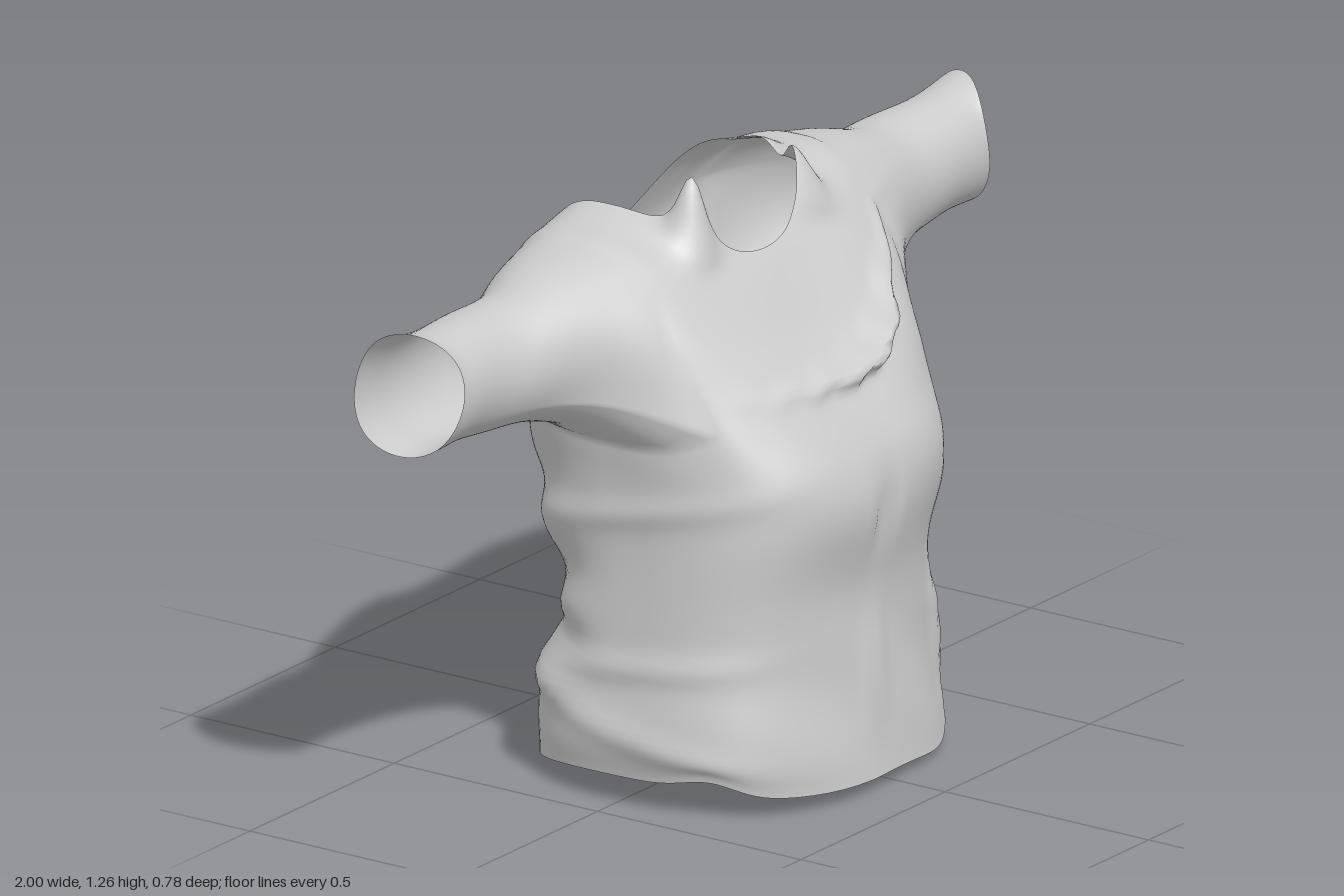
import * as THREE from 'three';

const N = 128;               // columns around the body
const SUB = 8;               // rows between two key rings
const HOLE = { back: -16, front: 12, low: 6, high: 9 }; // armhole block (columns, key rings)

// Key rings of the body: y at front, side, back; x of right and left side; z of front and back
const RINGS = [
  [0.045, 0.075, 0.015, -0.445, 0.36, 0.385, -0.335],
  [0.13, 0.155, 0.12, -0.455, 0.345, 0.375, -0.33],
  [0.28, 0.29, 0.28, -0.435, 0.345, 0.354, -0.302],
  [0.44, 0.44, 0.44, -0.418, 0.345, 0.35, -0.292],
  [0.6, 0.58, 0.59, -0.415, 0.365, 0.38, -0.348],
  [0.7, 0.69, 0.7, -0.415, 0.38, 0.368, -0.367],
  [0.79, 0.775, 0.79, -0.425, 0.395, 0.32, -0.38],
  [0.88, 0.95, 0.87, -0.45, 0.44, 0.25, -0.392],
  [0.95, 1.09, 0.92, -0.445, 0.44, 0.185, -0.39],
  [1.02, 1.165, 0.96, -0.4, 0.4, 0.128, -0.388],
  [1.065, 1.183, 0.985, -0.31, 0.3, 0.092, -0.385],
  [1.09, 1.2, 1.0, -0.24, 0.222, 0.07, -0.378],
];

// Key rings of a sleeve: x, centre y, centre z, half height, half depth
const SLEEVE = [
  [0.43, 0.97, -0.11, 0.19, 0.24],
  [0.51, 0.985, -0.127, 0.16, 0.182],
  [0.6, 0.985, -0.133, 0.138, 0.136],
  [0.7, 0.985, -0.148, 0.125, 0.122],
  [0.82, 0.99, -0.148, 0.121, 0.114],
  [0.92, 0.996, -0.144, 0.125, 0.107],
  [1.0, 1.003, -0.142, 0.133, 0.105],
];

const { lerp, smoothstep, radToDeg } = THREE.MathUtils;
const bump = (d, w) => Math.exp(-(d * d) / (w * w));

function smoothKeys(keys) {
  const f = new THREE.CubicInterpolant(keys.map((_, i) => i), keys.flat(), keys[0].length);
  return t => Array.from(f.evaluate(t));
}

// Outward push of the cloth: wrinkles, chest ridge, front closure and swags
function folds(x, y, z, c, s) {
  const front = smoothstep(s, 0.1, 0.7), back = smoothstep(-s, 0.1, 0.7);
  const side = Math.abs(c) ** 3;
  let d = 0.004 * Math.sin(17 * x + 9 * y) * Math.sin(13 * y - 8 * z + 1);
  // ridge rising across the chest to the left of the neck
  const ridgeY = 0.865 + 0.1 * Math.max(0, x) + 1.3 * Math.max(0, x) ** 2;
  d += front * 0.05 * bump(y - ridgeY - 0.006 * Math.sin(60 * x), 0.02) * bump(x - 0.08, 0.2);
  // front closure and pleats
  d -= front * 0.022 * bump(x + 0.03, 0.012) * bump(y - 0.62, 0.09);
  d += front * 0.016 * bump(x + 0.06 - 0.12 * (y - 0.2), 0.014) * bump(y - 0.25, 0.13);
  d += front * 0.02 * bump(x - 0.25 + 0.15 * (y - 0.2), 0.02) * bump(y - 0.24, 0.14);
  // swags hanging across the back
  d += back * bump(y - 0.52, 0.3) * 0.01 * Math.sin(34 * (y - 0.7 * x * x) + 4 * x);
  d += back * 0.022 * (bump(y - 0.23, 0.035) - bump(y - 0.33, 0.04));
  // creases on the flanks
  d += side * 0.01 * (bump(y - 0.3 - 0.1 * z, 0.025) + bump(y - 0.17 + 0.2 * z, 0.03));
  d += side * 0.009 * bump(y - 0.62 - 0.2 * z, 0.03);
  return d;
}

function bodyRows() {
  const key = smoothKeys(RINGS);
  const last = (RINGS.length - 1) * SUB;
  const rows = [];
  for (let j = 0; j <= last; j++) {
    const t = j / SUB;
    const [yf, ys, yb, xr, xl, zf, zb] = key(t);
    // squareness of the front and back half of the ring
    const pf = lerp(0.75, 0.9, smoothstep(t, 5, 11));
    const pb = lerp(0.78, 0.72, smoothstep(t, 6, 9));
    const row = [];
    for (let i = 0; i < N; i++) {
      const a = (i / N) * Math.PI * 2, c = Math.cos(a), s = Math.sin(a), deg = radToDeg(a);
      const p = s > 0 ? pf : pb;
      let x = (xr + xl) / 2 + (xl - xr) / 2 * Math.sign(c) * Math.abs(c) ** p;
      let z = (zf + zb) / 2 + (zf - zb) / 2 * Math.sign(s) * Math.abs(s) ** p;
      let y = lerp(s > 0 ? yf : yb, ys, c * c);
      const d = folds(x, y, z, c, s);
      x += c * d;
      z += s * d;
      // rounded lower corners of the armholes
      const fromSide = radToDeg(Math.atan2(s, Math.abs(c)));
      y += 0.03 * bump(t - 6, 0.7) * (bump(fromSide - 36, 13) + bump(fromSide + 46, 14));
      // collar points beside the neck with a fold running down from each
      const rise = bump(t - 11, 0.8);
      y += rise * (0.05 * bump(deg - 137, 14) + 0.075 * bump(deg - 138, 7));
      y += rise * (0.045 * bump(deg - 43, 14) + 0.04 * bump(deg - 40, 8) + 0.025 * bump(deg - 12, 14));
      z += 0.025 * bump(t - 10.2, 0.8) * (bump(deg - 132, 10) + bump(deg - 48, 10));
      // flared corner of the hem at the back left
      const flap = bump(deg - 330, 14) * bump(y - 0.14, 0.08);
      x += 0.08 * flap;
      z -= 0.02 * flap;
      // uneven hem: raised flanks, low front left
      y += bump(t, 0.6) * (0.025 * bump(fromSide - 25, 14) - 0.02 * bump(deg - 62, 18));
      row.push(new THREE.Vector3(x, Math.max(0, y), z));
    }
    rows.push(row);
  }
  return rows;
}

// Vertex numbers of the closed loop around one armhole
function armholeLoop(sign) {
  const at = (i, j) => j * N + ((sign > 0 ? i : N / 2 - i) + N) % N;
  const { back, front } = HOLE, low = HOLE.low * SUB, high = HOLE.high * SUB;
  const loop = [];
  for (let i = back; i < front; i++) loop.push(at(i, low));
  for (let j = low; j < high; j++) loop.push(at(front, j));
  for (let i = front; i > back; i--) loop.push(at(i, high));
  for (let j = high; j > low; j--) loop.push(at(back, j));
  return loop;
}

// Sleeve rings that start on the armhole and settle into ovals
function sleeveRows(loop, sign) {
  const key = smoothKeys(SLEEVE), steps = 42;
  const [x0, y0, z0, h0, d0] = SLEEVE[0];
  const rows = [];
  for (let k = 0; k <= steps; k++) {
    const u = k / steps;
    const [x, yc, zc, h, d] = key(u * (SLEEVE.length - 1));
    const keep = (1 - u) ** 6;
    rows.push(loop.map(q => {
      const a = Math.atan2((q.y - y0) / h0, (q.z - z0) / d0);
      const c = Math.cos(a), s = Math.sin(a);
      const w = 1 + 0.02 * Math.sin(22 * x + 2 * a) * Math.sin(Math.PI * u);
      const cut = u ** 4 * (0.085 * (0.5 + 0.5 * c) ** 1.5 + 0.006 * (1 + Math.sin(3 * a))); // slanted cuff
      return new THREE.Vector3(
        sign * (x - cut) + keep * (q.x - sign * x0),
        yc + h * w * s + keep * (q.y - y0 - h0 * s),
        zc + d * w * c + keep * (q.z - z0 - d0 * c));
    }));
  }
  return rows;
}

// Skin of closed rings; skip(i, j) leaves a cell open
function skin(rows, flip, skip = () => false) {
  const n = rows[0].length, index = [];
  for (let j = 0; j < rows.length - 1; j++) {
    for (let i = 0; i < n; i++) {
      if (skip(i, j)) continue;
      const a = j * n + i, b = j * n + (i + 1) % n, c = a + n, d = b + n;
      if (flip) index.push(a, b, c, b, d, c);
      else index.push(a, c, b, b, c, d);
    }
  }
  const geo = new THREE.BufferGeometry().setFromPoints(rows.flat());
  geo.setIndex(index);
  geo.computeVertexNormals();
  return geo;
}

// Share normals along the armhole so the sleeve flows out of the body
function blendSeam(body, sleeve, loop) {
  const nb = body.attributes.normal, ns = sleeve.attributes.normal;
  const n = new THREE.Vector3(), m = new THREE.Vector3();
  loop.forEach((v, k) => {
    n.fromBufferAttribute(nb, v).add(m.fromBufferAttribute(ns, k)).normalize();
    nb.setXYZ(v, n.x, n.y, n.z);
    ns.setXYZ(k, n.x, n.y, n.z);
  });
}

export function createModel() {
  const group = new THREE.Group();
  group.name = 'shirt';
  const cloth = new THREE.MeshStandardMaterial({ color: 0xcccccc, side: THREE.DoubleSide });
  const add = (name, geo) => {
    const mesh = new THREE.Mesh(geo, cloth);
    mesh.name = name;
    group.add(mesh);
  };

  // Body with open hem, neck and armholes
  const rows = bodyRows(), points = rows.flat();
  const inHole = i => i >= HOLE.back && i < HOLE.front;
  const body = skin(rows, false, (i, j) => {
    if (j < HOLE.low * SUB || j >= HOLE.high * SUB) return false;
    return inHole(i > N / 2 ? i - N : i) || inHole(N / 2 - 1 - i);
  });
  add('body', body);

  // Sleeves
  for (const sign of [1, -1]) {
    const loop = armholeLoop(sign);
    const sleeve = skin(sleeveRows(loop.map(v => points[v]), sign), sign < 0);
    blendSeam(body, sleeve, loop);
    add(sign > 0 ? 'leftSleeve' : 'rightSleeve', sleeve);
  }
  return group;
}
